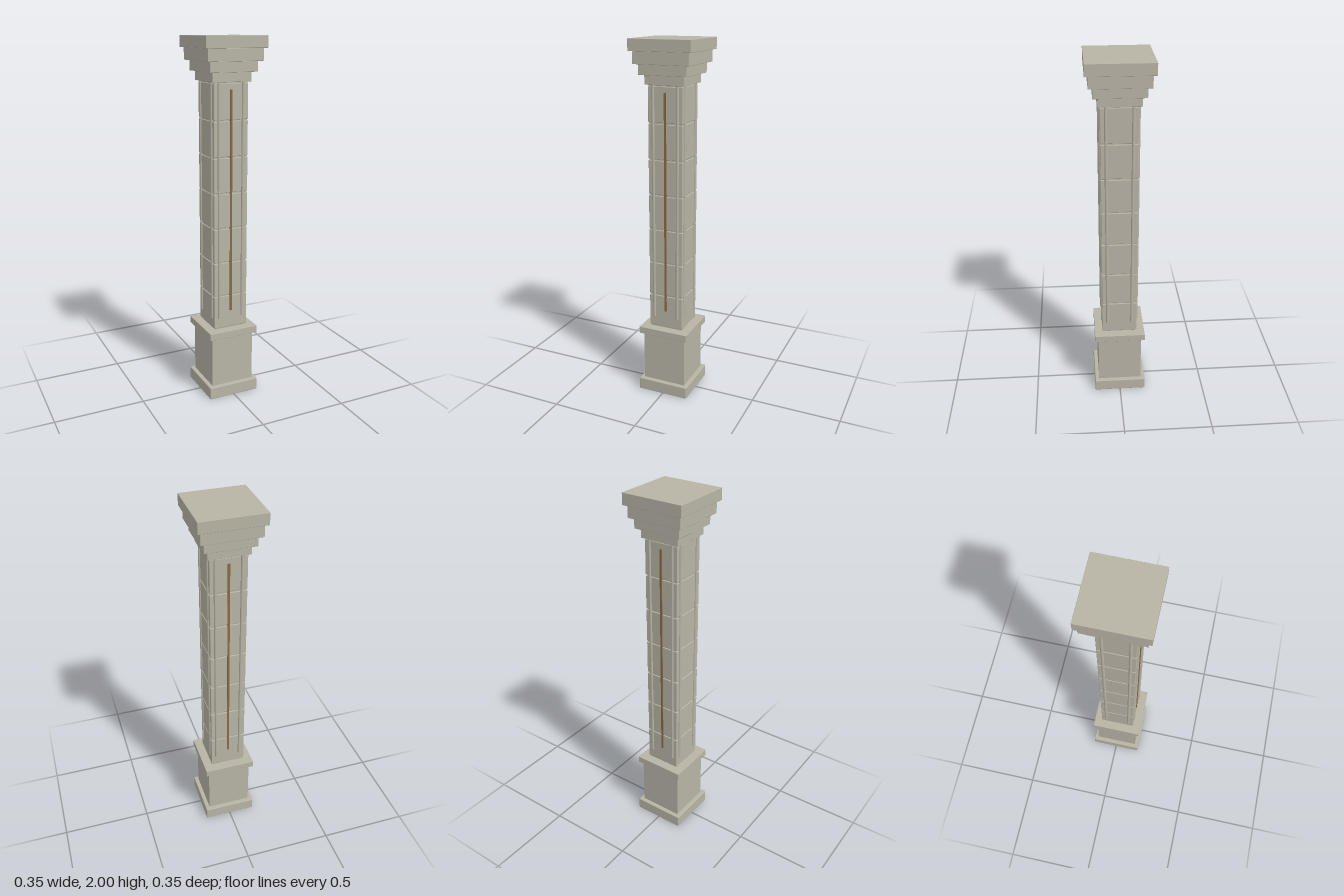
import * as THREE from 'three';
import { RoundedBoxGeometry } from 'three/addons/geometries/RoundedBoxGeometry.js';

const stone = new THREE.MeshStandardMaterial({ color: 0xb8b4a6 });
const bronze = new THREE.MeshStandardMaterial({ color: 0x8a6a45 });

export function createModel() {
  const column = new THREE.Group();
  column.name = 'column';

  // Square slab from y0 to y1 with a small eased edge (0 = sharp)
  function slab(name, half, y0, y1, bevel = 0, parent = column) {
    const size = [half * 2, y1 - y0, half * 2];
    const geometry = bevel
      ? new RoundedBoxGeometry(...size, 2, bevel)
      : new THREE.BoxGeometry(...size);
    const mesh = new THREE.Mesh(geometry, stone);
    mesh.name = name;
    mesh.position.y = (y0 + y1) / 2;
    parent.add(mesh);
    return mesh;
  }

  // Pedestal
  slab('plinth', 0.149, 0, 0.07, 0.005);
  slab('pedestal', 0.125, 0.07, 0.36);
  slab('pedestalCap', 0.145, 0.36, 0.4, 0.002);

  // Shaft: stacked blocks around a slightly narrower core that shows in the joints
  const shaft = new THREE.Group();
  shaft.name = 'shaft';
  column.add(shaft);
  slab('shaftCore', 0.093, 0.4, 1.78, 0, shaft);
  const courses = 7, bottom = 0.403, pitch = 0.1945, joint = 0.007;
  for (let i = 0; i < courses; i++) {
    const y = bottom + i * pitch;
    slab('shaftBlock', 0.099, y + joint / 2, y + pitch - joint / 2, 0.003, shaft);
  }

  // Two slim round ribs near the edges of each face
  const ribBottom = 0.465, ribTop = 1.775;
  const ribGeometry = new THREE.CylinderGeometry(0.008, 0.008, ribTop - ribBottom, 12);
  for (let side = 0; side < 4; side++) {
    const face = new THREE.Group();
    face.name = 'faceRibs';
    face.rotation.y = side * Math.PI / 2;
    for (const x of [-0.07, 0.07]) {
      const rib = new THREE.Mesh(ribGeometry, stone);
      rib.name = 'rib';
      rib.position.set(x, (ribBottom + ribTop) / 2, 0.099);
      face.add(rib);
    }
    shaft.add(face);
  }

  // Bronze inlay strips on the front and back
  for (const z of [-1, 1]) {
    const inlay = new THREE.Mesh(new THREE.BoxGeometry(0.012, 1.225, 0.01), bronze);
    inlay.name = 'inlay';
    inlay.position.set(0, 1.117, z * 0.098);
    shaft.add(inlay);
  }

  // Stepped capital: [half width, bottom, top]
  const steps = [
    [0.112, 1.768, 1.818],
    [0.135, 1.818, 1.873],
    [0.157, 1.873, 1.938],
    [0.174, 1.938, 2],
  ];
  for (const [half, y0, y1] of steps) slab('capitalStep', half, y0, y1, 0.002);

  return column;
}
